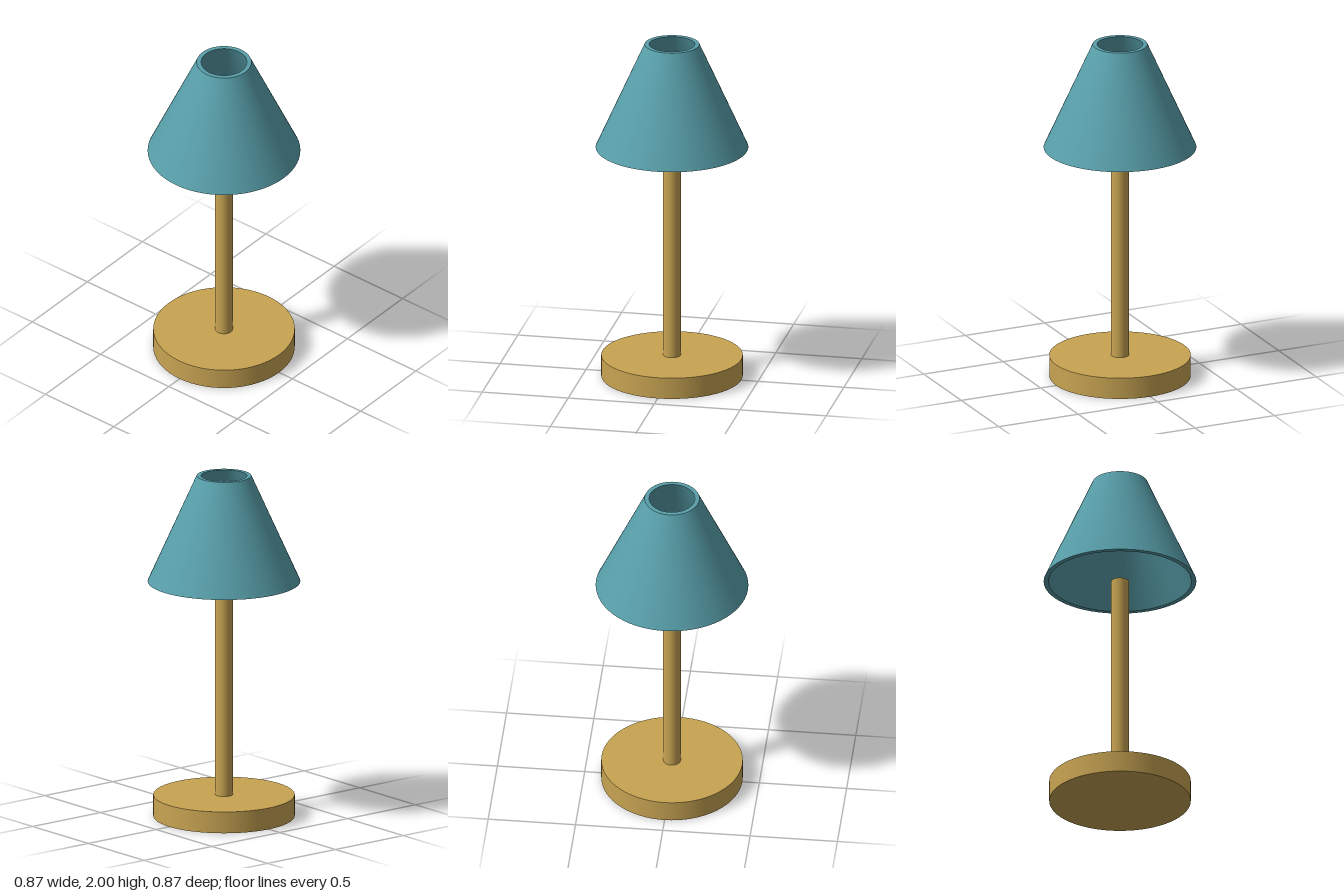
import * as THREE from 'three';
import { mergeGeometries } from 'three/addons/utils/BufferGeometryUtils.js';

const SEGMENTS = 64;

export function createModel() {
  const lamp = new THREE.Group();
  lamp.name = 'tableLamp';

  const brass = new THREE.MeshStandardMaterial({ color: 0xc8a452 });
  brass.name = 'brass';
  const teal = new THREE.MeshStandardMaterial({ color: 0x589faa });
  teal.name = 'teal';

  const add = (name, geometry, material, y = 0) => {
    const mesh = new THREE.Mesh(geometry, material);
    mesh.name = name;
    mesh.position.y = y;
    lamp.add(mesh);
  };

  // Round foot and straight pole ending level with the shade's lower rim
  const baseHeight = 0.125;
  const shadeBottom = 1.38;
  const poleHeight = shadeBottom - baseHeight;
  add('base', new THREE.CylinderGeometry(0.403, 0.403, baseHeight, SEGMENTS), brass, baseHeight / 2);
  add('pole', new THREE.CylinderGeometry(0.05, 0.05, poleHeight, SEGMENTS), brass, baseHeight + poleHeight / 2);

  // Open conical shade with a solid wall; each profile side is turned
  // separately so the rims stay sharp
  const profile = [
    [0.435, shadeBottom], // outer bottom
    [0.156, 2],           // outer top
    [0.13, 2],            // inner top
    [0.407, shadeBottom], // inner bottom
  ].map(([r, y]) => new THREE.Vector2(r, y));
  const sides = profile.map((p, i) =>
    new THREE.LatheGeometry([p, profile[(i + 1) % profile.length]], SEGMENTS));
  add('shade', mergeGeometries(sides), teal);

  return lamp;
}
